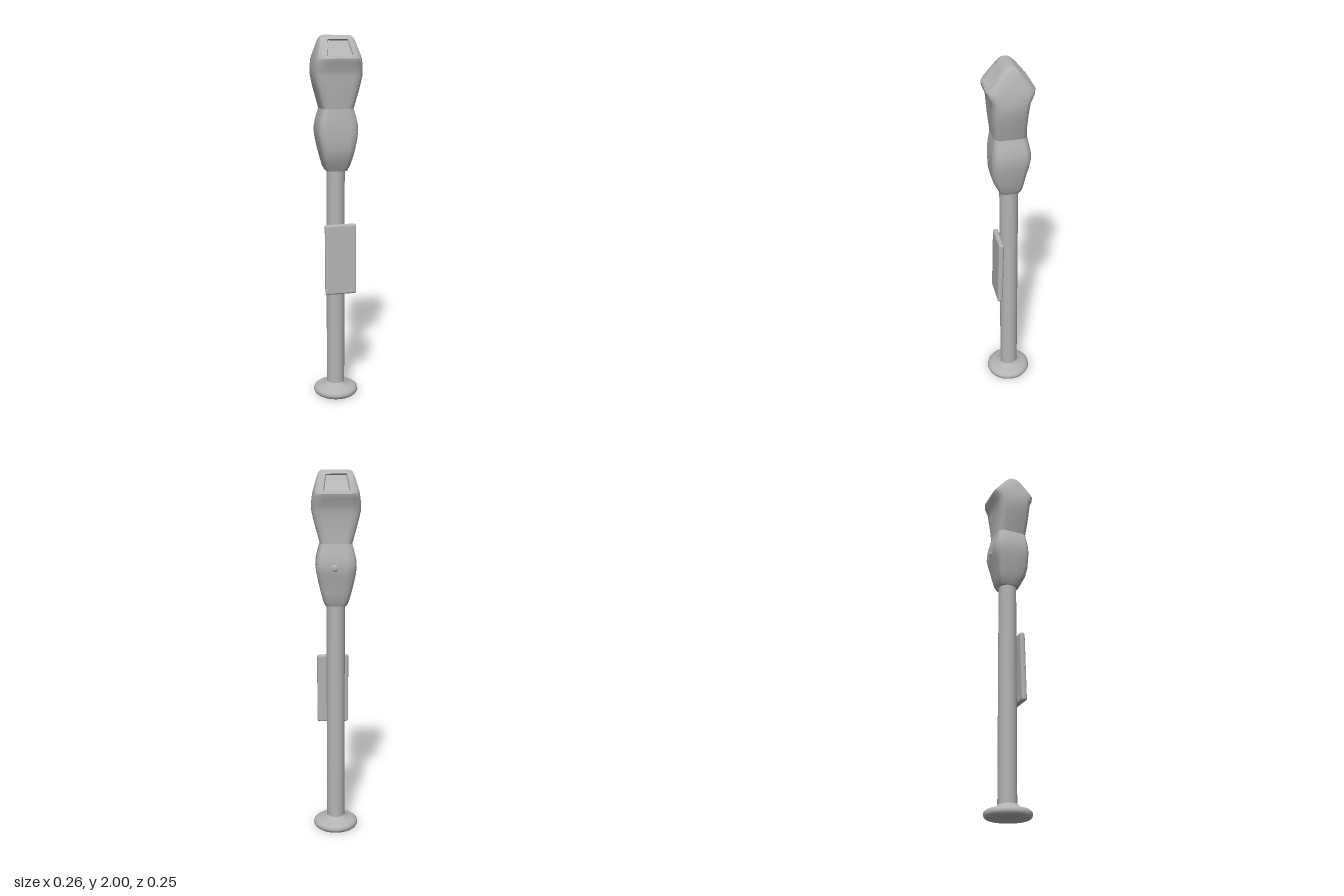
import * as THREE from 'three';
import { toCreasedNormals } from 'three/addons/utils/BufferGeometryUtils.js';
import { RoundedBoxGeometry } from 'three/addons/geometries/RoundedBoxGeometry.js';

// One quarter of the rounded-rectangle section; the third value marks window columns
const QUARTER = [[1, 0], [1, 0.65], [0.95, 0.8], [0.83, 0.92], [0.6, 1], [0.55, 1, 1], [0, 1, 1]];

function sectionRing() {
  const half = [...QUARTER, ...QUARTER.slice(0, -1).reverse().map(([x, z, w]) => [-x, z, w])];
  return [...half, ...half.slice(1, -1).reverse().map(([x, z, w]) => [x, -z, w])];
}

// Loft through rows of [y, half width, front depth, back depth, window recess]
function loft(rows) {
  const ring = sectionRing(), n = ring.length, pos = [], index = [];
  for (const [y, hw, front, back, recess = 0] of rows) {
    for (const [u, v, w] of ring) {
      const inset = w ? recess * Math.sign(v) : 0;
      pos.push(u * hw, y, v * (v > 0 ? front : back) - inset);
    }
  }
  for (let j = 0; j < rows.length - 1; j++) {
    for (let i = 0; i < n; i++) {
      const a = j * n + i, b = j * n + (i + 1) % n;
      index.push(a, a + n, b, b, a + n, b + n);
    }
  }
  // End caps
  const last = (rows.length - 1) * n, low = pos.length / 3;
  pos.push(0, rows[0][0], 0, 0, rows[rows.length - 1][0], 0);
  for (let i = 0; i < n; i++) {
    const k = (i + 1) % n;
    index.push(low, i, k, low + 1, last + k, last + i);
  }
  const g = new THREE.BufferGeometry();
  g.setAttribute('position', new THREE.Float32BufferAttribute(pos, 3));
  g.setIndex(index);
  return toCreasedNormals(g, 0.6);
}

export function createModel() {
  const model = new THREE.Group();
  model.name = 'parkingMeter';
  const metal = new THREE.MeshStandardMaterial({ color: 0xb4b4b4 });
  metal.name = 'grey metal';

  const add = (name, geometry) => {
    const mesh = new THREE.Mesh(geometry, metal);
    mesh.name = name;
    model.add(mesh);
    return mesh;
  };

  // Round foot with a soft rim and a small collar
  const footProfile = [[0, 0], [0.11, 0], [0.12, 0.008], [0.125, 0.02], [0.122, 0.033], [0.11, 0.043],
    [0.085, 0.05], [0.064, 0.056], [0.052, 0.072]].map(([x, y]) => new THREE.Vector2(x, y));
  add('foot', toCreasedNormals(new THREE.LatheGeometry(footProfile, 40), 1));

  // Post
  const post = add('post', new THREE.CylinderGeometry(0.05, 0.05, 1.27, 28));
  post.position.set(0, 0.675, -0.004);

  // Sign plate leaning on the front of the post
  const plate = add('signPlate', new RoundedBoxGeometry(0.174, 0.392, 0.03, 3, 0.012));
  plate.position.set(0.013, 0.805, 0.061);
  plate.rotation.x = -0.025;

  // Coin box below the waist
  add('coinBox', loft([
    [1.29, 0.055, 0.05, 0.056],
    [1.315, 0.068, 0.062, 0.068],
    [1.36, 0.08, 0.084, 0.077],
    [1.41, 0.092, 0.095, 0.086],
    [1.46, 0.102, 0.097, 0.099],
    [1.5, 0.107, 0.097, 0.106],
    [1.54, 0.105, 0.095, 0.103],
    [1.58, 0.096, 0.091, 0.094],
    [1.625, 0.083, 0.085, 0.085],
  ]));

  // Meter head with a sunken window on the front and back slopes
  add('meterHead', loft([
    [1.62, 0.083, 0.085, 0.085],
    [1.68, 0.1, 0.091, 0.084],
    [1.74, 0.116, 0.096, 0.086],
    [1.79, 0.127, 0.099, 0.09],
    [1.825, 0.128, 0.101, 0.096],
    [1.86, 0.123, 0.119, 0.116],
    [1.88, 0.12, 0.122, 0.12],
    [1.892, 0.117, 0.115, 0.114],
    [1.898, 0.116, 0.111, 0.11, 0.015],
    [1.972, 0.095, 0.05, 0.05, 0.015],
    [1.978, 0.092, 0.044, 0.044],
    [1.988, 0.087, 0.033, 0.033],
    [1.996, 0.08, 0.022, 0.022],
    [2.0, 0.068, 0.01, 0.01],
  ]));

  // Small lock knob on the back of the coin box
  const lock = add('lockKnob', new THREE.SphereGeometry(0.018, 16, 10));
  lock.scale.z = 0.4;
  lock.position.set(0.01, 1.5, -0.103);

  return model;
}
